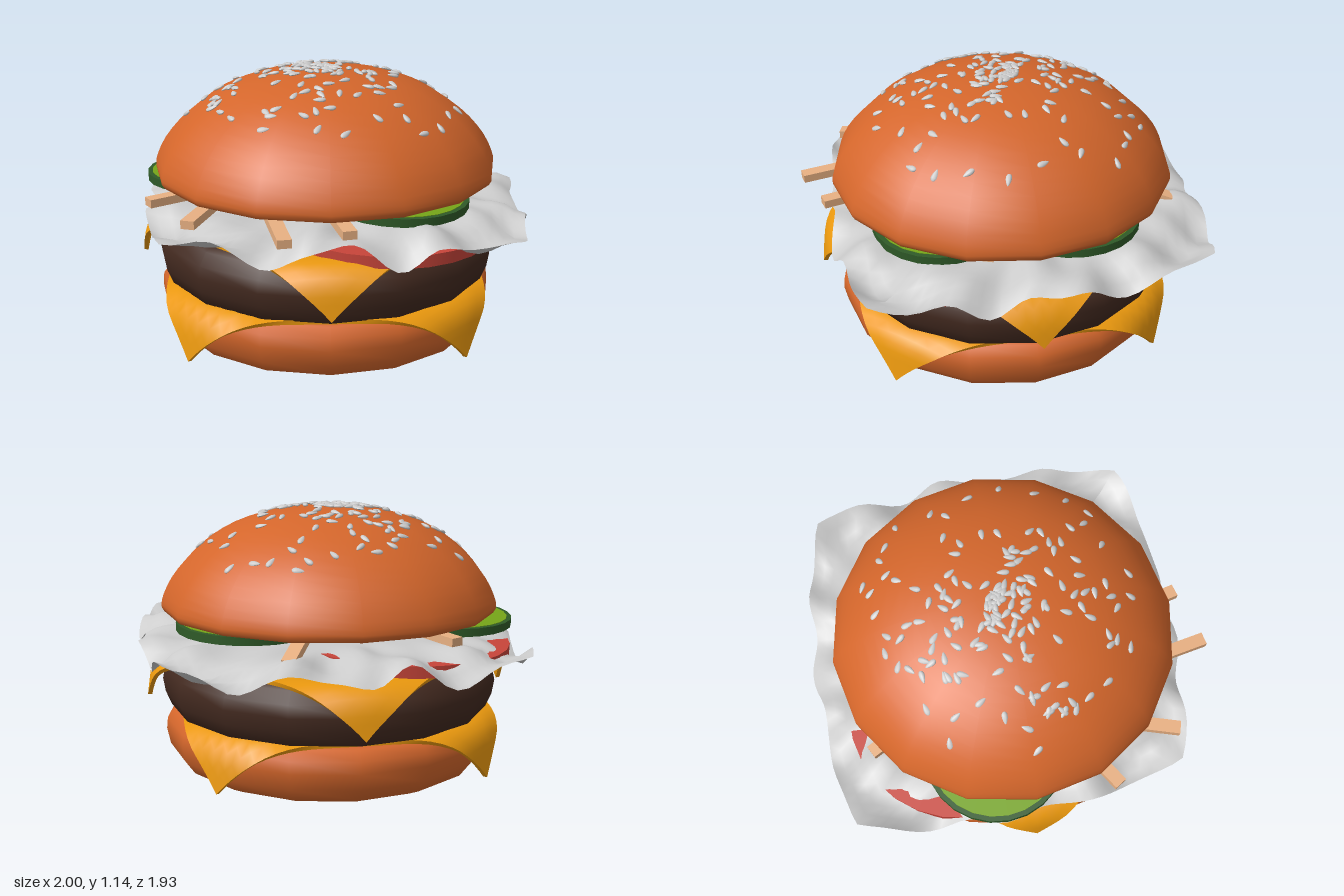
import * as THREE from 'three';

const CZ = 0.047;   // the stack sits slightly forward of the lettuce
const SIDES = 16;

const paint = (color, side = THREE.FrontSide) =>
  new THREE.MeshStandardMaterial({ color, side, roughness: 0.8 });

const BUN = paint(0xd4662b);
const PATTY = paint(0x42291f);
const CHEESE = paint(0xea980e);
const TOMATO = paint(0xc8453a);
const FRY = paint(0xe8b082);
const PICKLE_RIM = paint(0x2f5a28);
const PICKLE_FLESH = paint(0x76a519);
const PLAIN = paint(0xcccccc);
const LEAF = paint(0xcccccc, THREE.DoubleSide);

function part(parent, name, geometry, material, x = 0, y = 0, z = 0) {
  const mesh = new THREE.Mesh(geometry, material);
  mesh.name = name;
  mesh.position.set(x, y, z);
  parent.add(mesh);
  return mesh;
}

function seeded(seed) {
  return () => {
    seed = (seed * 16807) % 2147483647;
    return seed / 2147483647;
  };
}

const points = (list) => list.map(([r, y]) => new THREE.Vector2(r, y));
const lathe = (pts) => new THREE.LatheGeometry(pts, SIDES);

// Square slice folded down over a round edge, so its corners droop
function cheeseSlice(half, edge, bend) {
  const geo = new THREE.BoxGeometry(half * 2, 0.018, half * 2, 28, 1, 28);
  const pos = geo.attributes.position;
  for (let i = 0; i < pos.count; i++) {
    const x = pos.getX(i), t = pos.getY(i), z = pos.getZ(i);
    const d = Math.hypot(x, z);
    if (d <= edge) continue;
    const a = Math.min((d - edge) / bend, 1.42);
    const rest = d - edge - bend * a;
    const r = edge + (bend + t) * Math.sin(a) + rest * Math.cos(a);
    const y = t * Math.cos(a) - bend * (1 - Math.cos(a)) - rest * Math.sin(a);
    pos.setXYZ(i, x / d * r, y, z / d * r);
  }
  geo.computeVertexNormals();
  return geo;
}

// Four-cornered leaf with ripples that grow towards the rim
function lettuceLeaf() {
  const geo = new THREE.RingGeometry(0.001, 1, 128, 18).rotateX(-Math.PI / 2);
  const pos = geo.attributes.position;
  for (let i = 0; i < pos.count; i++) {
    const x = pos.getX(i), z = pos.getZ(i);
    const u = Math.hypot(x, z), a = Math.atan2(z, x);
    const p = 1.22;
    const reach = (Math.abs(Math.cos(a)) ** p + Math.abs(Math.sin(a)) ** p) ** (-1 / p);
    const away = Math.abs(Math.sin(2 * a));
    const r = u * reach * (1 + 0.025 * away * Math.sin(13 * a + 1));
    const rim = Math.max(0, (u - 0.5) / 0.5);
    const wave = Math.sin(11 * a + 5 * u) * 0.03 + Math.sin(19 * a - 7 * u + 2) * 0.017;
    const cornerDip = -0.055 * Math.exp(-(((r - 0.86) / 0.07) ** 2));
    pos.setXYZ(i, Math.cos(a) * r, 0.612 + rim * wave + cornerDip - 0.012 * rim,
      Math.sin(a) * r * 0.965);
  }
  geo.computeVertexNormals();
  return geo;
}

// Teardrop seed, lying along z
function seedGeometry() {
  const geo = new THREE.SphereGeometry(1, 7, 6).rotateX(Math.PI / 2);
  const pos = geo.attributes.position;
  for (let i = 0; i < pos.count; i++) {
    const z = pos.getZ(i), taper = 1 - 0.4 * z;
    pos.setXYZ(i, pos.getX(i) * 0.012 * taper, pos.getY(i) * 0.008 * taper, z * 0.026);
  }
  geo.computeVertexNormals();
  return geo;
}

export function createModel() {
  const model = new THREE.Group();
  model.name = 'burger';

  // Bottom bun and patty
  part(model, 'bottomBun', lathe(points([[0, 0], [0.56, 0], [0.61, 0.006], [0.67, 0.035],
    [0.71, 0.09], [0.725, 0.16], [0.72, 0.21], [0.69, 0.25], [0.64, 0.258], [0, 0.258]])),
    BUN, 0, 0, CZ);
  part(model, 'patty', lathe(points([[0, 0.26], [0.66, 0.26], [0.7, 0.27], [0.725, 0.33],
    [0.735, 0.39], [0.725, 0.44], [0.69, 0.49], [0.65, 0.505], [0, 0.505]])),
    PATTY, 0, 0, CZ);

  // Cheese slices, turned an eighth turn against each other
  part(model, 'lowerCheese', cheeseSlice(0.665, 0.675, 0.09), CHEESE, 0, 0.264, CZ + 0.01)
    .rotation.y = Math.PI / 4;
  part(model, 'upperCheese', cheeseSlice(0.655, 0.665, 0.115), CHEESE, 0, 0.514, CZ);

  // Two overlapping tomato slices
  for (const [x, y, tilt] of [[-0.34, 0.575, 0.05], [0.32, 0.538, -0.045]]) {
    part(model, 'tomatoSlice', new THREE.CylinderGeometry(0.48, 0.48, 0.05, 28),
      TOMATO, x, y, 0.06).rotation.z = tilt;
  }

  part(model, 'lettuce', lettuceLeaf(), LEAF);

  // Pickle slices
  const pickleGeo = new THREE.CylinderGeometry(0.3, 0.3, 0.035, 24);
  for (const [x, y, z, tilt] of [[-0.43, 0.645, 0.3, 0.03], [0.41, 0.65, 0.06, -0.05],
    [0.13, 0.66, -0.36, 0.02]]) {
    const pickle = new THREE.Group();
    pickle.name = 'pickle';
    pickle.position.set(x, y, z);
    pickle.rotation.z = tilt;
    part(pickle, 'pickleSkin', pickleGeo, PICKLE_RIM);
    part(pickle, 'pickleFlesh', new THREE.CylinderGeometry(0.28, 0.28, 0.039, 24), PICKLE_FLESH);
    model.add(pickle);
  }

  // Onion sticks: outer end, inner end
  const sticks = [
    [[-0.26, 0.655, 0.81], [-0.15, 0.665, 0.35]],
    [[0.08, 0.662, 0.89], [-0.12, 0.665, 0.5]],
    [[0.48, 0.655, 0.77], [0.06, 0.67, 0.48]],
    [[0.6, 0.66, 0.55], [0.2, 0.67, 0.3]],
    [[-0.73, 0.655, -0.12], [-0.3, 0.67, 0.02]],
    [[-0.29, 0.61, -0.64], [-0.2, 0.675, -0.4]],
    [[0.58, 0.665, -0.26], [0.2, 0.67, -0.1]],
  ];
  for (const [from, to] of sticks) {
    const a = new THREE.Vector3(...from), b = new THREE.Vector3(...to);
    const stick = part(model, 'onionStick', new THREE.BoxGeometry(0.055, 0.034, a.distanceTo(b)), FRY);
    stick.position.copy(a).lerp(b, 0.5);
    stick.lookAt(b);
  }

  // Top bun: flat underside and a domed crown
  const dome = new THREE.SplineCurve(points([[0.73, 0.705], [0.725, 0.75], [0.68, 0.84],
    [0.59, 0.94], [0.46, 1.03], [0.31, 1.09], [0.15, 1.122], [0, 1.13]])).getPoints(18);
  part(model, 'topBun', lathe([...points([[0, 0.685], [0.69, 0.685], [0.72, 0.688]]), ...dome]),
    BUN, 0, 0, CZ);

  // Sesame seeds, thickest around the crown
  const seeds = new THREE.Group();
  seeds.name = 'sesameSeeds';
  model.add(seeds);
  const rnd = seeded(4217), seedGeo = seedGeometry();
  const up = new THREE.Vector3(0, 1, 0);
  for (let i = 0; i < 170; i++) {
    const r = 0.015 + 0.58 * rnd() ** 1.1, a = rnd() * Math.PI * 2;
    const facet = Math.PI * 2 / SIDES;
    const profileR = r * Math.cos((a % facet) - facet / 2) / Math.cos(facet / 2);
    const k = dome.findIndex((p) => p.x <= profileR);
    const lo = dome[k - 1], hi = dome[k];
    const y = lo.y + (hi.y - lo.y) * (lo.x - profileR) / (lo.x - hi.x);
    const normal = new THREE.Vector3(Math.sin(a) * (hi.y - lo.y), lo.x - hi.x,
      Math.cos(a) * (hi.y - lo.y)).normalize();
    const seed = part(seeds, 'seed', seedGeo, PLAIN, Math.sin(a) * r, y, CZ + Math.cos(a) * r);
    seed.position.addScaledVector(normal, 0.004);
    seed.quaternion.setFromUnitVectors(up, normal);
    seed.rotateY(rnd() * Math.PI * 2);
  }

  return model;
}
